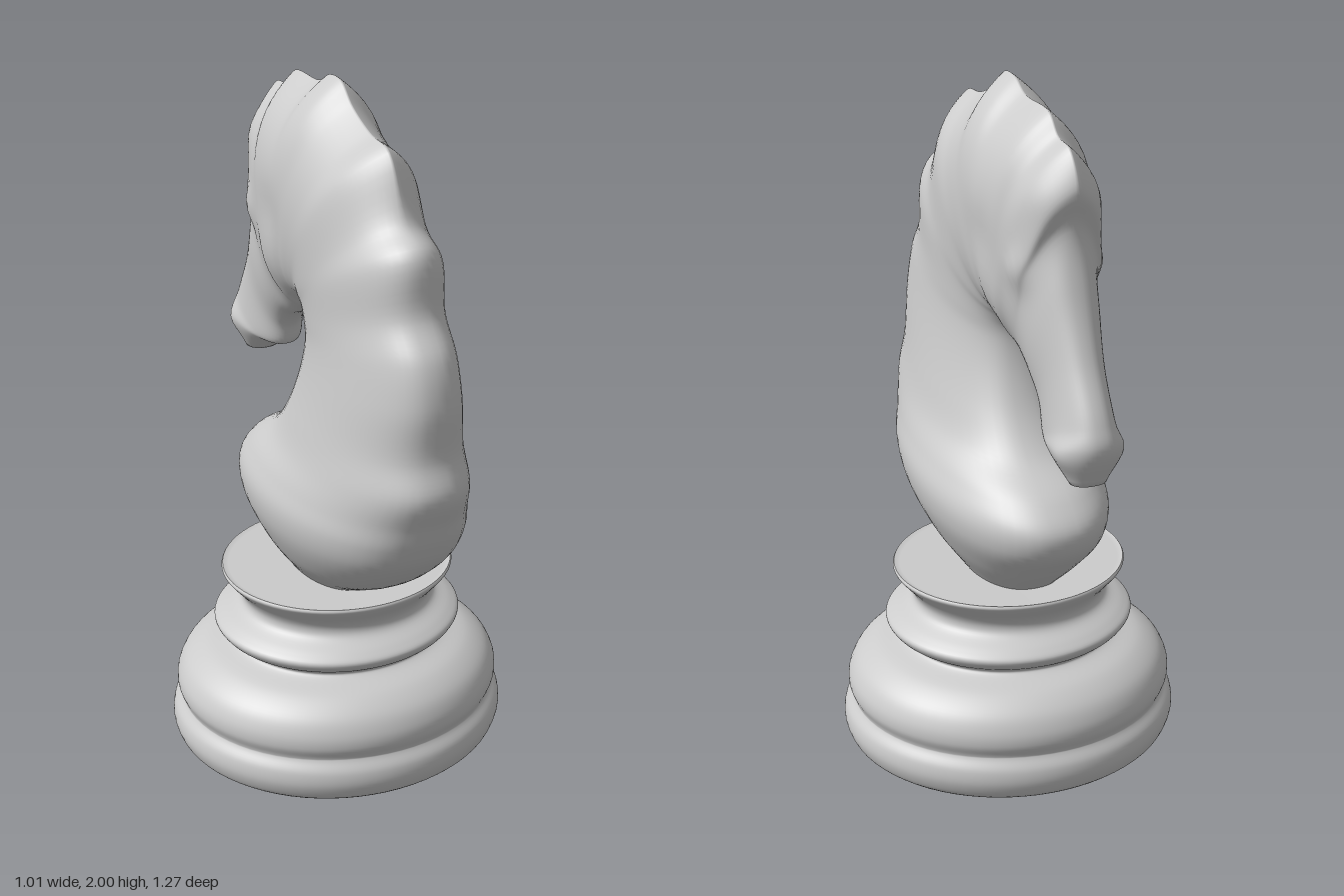
import * as THREE from 'three';

const material = new THREE.MeshStandardMaterial({ color: 0xcccccc, roughness: 0.7 });

// Horse sections: crest z, y, throat z, y, half width
const SECTIONS = [
  [0.21, 0.55, -0.21, 0.55, 0.135],
  [0.40, 0.66, -0.31, 0.64, 0.205],
  [0.53, 0.78, -0.40, 0.74, 0.253],
  [0.575, 0.86, -0.41, 0.81, 0.26],
  [0.60, 0.93, -0.35, 0.88, 0.24],
  [0.637, 1.03, -0.22, 0.96, 0.208],
  [0.61, 1.13, -0.14, 1.05, 0.187],
  [0.617, 1.28, -0.08, 1.17, 0.165],
  [0.59, 1.40, -0.057, 1.26, 0.152],
  [0.52, 1.50, -0.06, 1.30, 0.148],
  [0.50, 1.66, -0.075, 1.325, 0.15],
  [0.41, 1.72, -0.085, 1.335, 0.15],
  [0.32, 1.88, -0.095, 1.338, 0.153],
  [0.21, 1.90, -0.105, 1.337, 0.153],
  [0.10, 1.945, -0.115, 1.334, 0.155],
  [0.03, 1.997, -0.124, 1.329, 0.155],
  [-0.04, 1.997, -0.132, 1.325, 0.155],
  [-0.11, 1.965, -0.14, 1.32, 0.153],
  [-0.27, 1.955, -0.16, 1.305, 0.145],
  [-0.33, 1.905, -0.175, 1.29, 0.135],
  [-0.405, 1.89, -0.19, 1.278, 0.122],
  [-0.457, 1.80, -0.21, 1.265, 0.11],
  [-0.43, 1.69, -0.24, 1.245, 0.1],
  [-0.47, 1.53, -0.285, 1.22, 0.093],
  [-0.54, 1.36, -0.325, 1.17, 0.08],
  [-0.615, 1.22, -0.345, 1.105, 0.083],
  [-0.635, 1.15, -0.40, 1.095, 0.09],
  [-0.585, 1.035, -0.505, 1.03, 0.05],
];

// Soft modelling on both flanks: z, y, radius, height
const SWELLINGS = [
  [-0.20, 1.42, 0.09, 0.012],  // cheek
  [-0.33, 1.56, 0.05, 0.016],  // eye
  [-0.41, 1.77, 0.06, 0.014],  // ear
  [-0.14, 1.60, 0.08, -0.01],  // temple hollow
  [-0.57, 1.12, 0.045, 0.012], // nostril
];

const swellingAt = (z, y) => SWELLINGS.reduce((sum, [cz, cy, r, h]) =>
  sum + h * Math.exp(-((z - cz) ** 2 + (y - cy) ** 2) / (r * r)), 0);

// Loft through the sections: smoothed rows of rounded rings
function horseGeometry(rows = 180, sides = 56) {
  const crest = new THREE.CatmullRomCurve3(SECTIONS.map(s => new THREE.Vector3(s[4], s[1], s[0])));
  const throat = new THREE.CatmullRomCurve3(SECTIONS.map(s => new THREE.Vector3(0, s[3], s[2])));
  const positions = [], index = [];
  for (let i = 0; i <= rows; i++) {
    const a = crest.getPoint(i / rows), b = throat.getPoint(i / rows);
    // The mane turns from a round back into a sharp ridge towards the top
    const ridge = 0.9 * THREE.MathUtils.smoothstep(a.y, 1.55, 1.95);
    for (let j = 0; j < sides; j++) {
      const angle = (j / sides) * Math.PI * 2;
      const k = (1 + Math.cos(angle)) / 2, s = Math.sin(angle);
      const y = b.y + (a.y - b.y) * k, z = b.z + (a.z - b.z) * k;
      const half = a.x * Math.abs(s) ** (0.85 + ridge * k ** 4);
      positions.push(Math.sign(s) * half + s * swellingAt(z, y), y, z);
    }
  }
  for (let i = 0; i < rows; i++) {
    for (let j = 0; j < sides; j++) {
      const p = i * sides + j, q = i * sides + (j + 1) % sides;
      index.push(p, q, p + sides, q, q + sides, p + sides);
    }
  }
  // Close the lip; the foot is hidden on the seat
  const centre = positions.length / 3, last = rows * sides;
  const a = crest.getPoint(1), b = throat.getPoint(1);
  positions.push(0, (a.y + b.y) / 2 - 0.012, (a.z + b.z) / 2);
  for (let j = 0; j < sides; j++) index.push(centre, last + j, last + (j + 1) % sides);

  const geometry = new THREE.BufferGeometry();
  geometry.setAttribute('position', new THREE.Float32BufferAttribute(positions, 3));
  geometry.setIndex(index);
  geometry.computeVertexNormals();
  return geometry;
}

// Turned base: each run is smooth, with a crisp edge between runs
function createBase() {
  const base = new THREE.Group();
  base.name = 'base';
  const line = points => points.map(p => new THREE.Vector2(...p));
  const curve = points => new THREE.SplineCurve(line(points)).getPoints(points.length * 5);
  const runs = {
    underside: line([[0, 0], [0.47, 0]]),
    mouldings: curve([[0.47, 0], [0.49, 0.02], [0.503, 0.06], [0.498, 0.1], [0.478, 0.13], [0.476, 0.142],
      [0.487, 0.175], [0.482, 0.215], [0.455, 0.26], [0.4, 0.298], [0.33, 0.32], [0.32, 0.335],
      [0.355, 0.36], [0.37, 0.388], [0.345, 0.41], [0.3, 0.435], [0.288, 0.46], [0.3, 0.49],
      [0.33, 0.525], [0.345, 0.545], [0.342, 0.555]]),
    seat: line([[0.342, 0.555], [0.325, 0.55], [0, 0.55]]),
  };
  for (const [name, profile] of Object.entries(runs)) {
    const mesh = new THREE.Mesh(new THREE.LatheGeometry(profile, 72), material);
    mesh.name = name;
    base.add(mesh);
  }
  base.scale.z = 0.92; // slightly oval footprint
  base.position.z = 0.004;
  return base;
}

export function createModel() {
  const model = new THREE.Group();
  model.name = 'chessKnight';
  const horse = new THREE.Mesh(horseGeometry(), material);
  horse.name = 'horse';
  model.add(createBase(), horse);
  return model;
}
